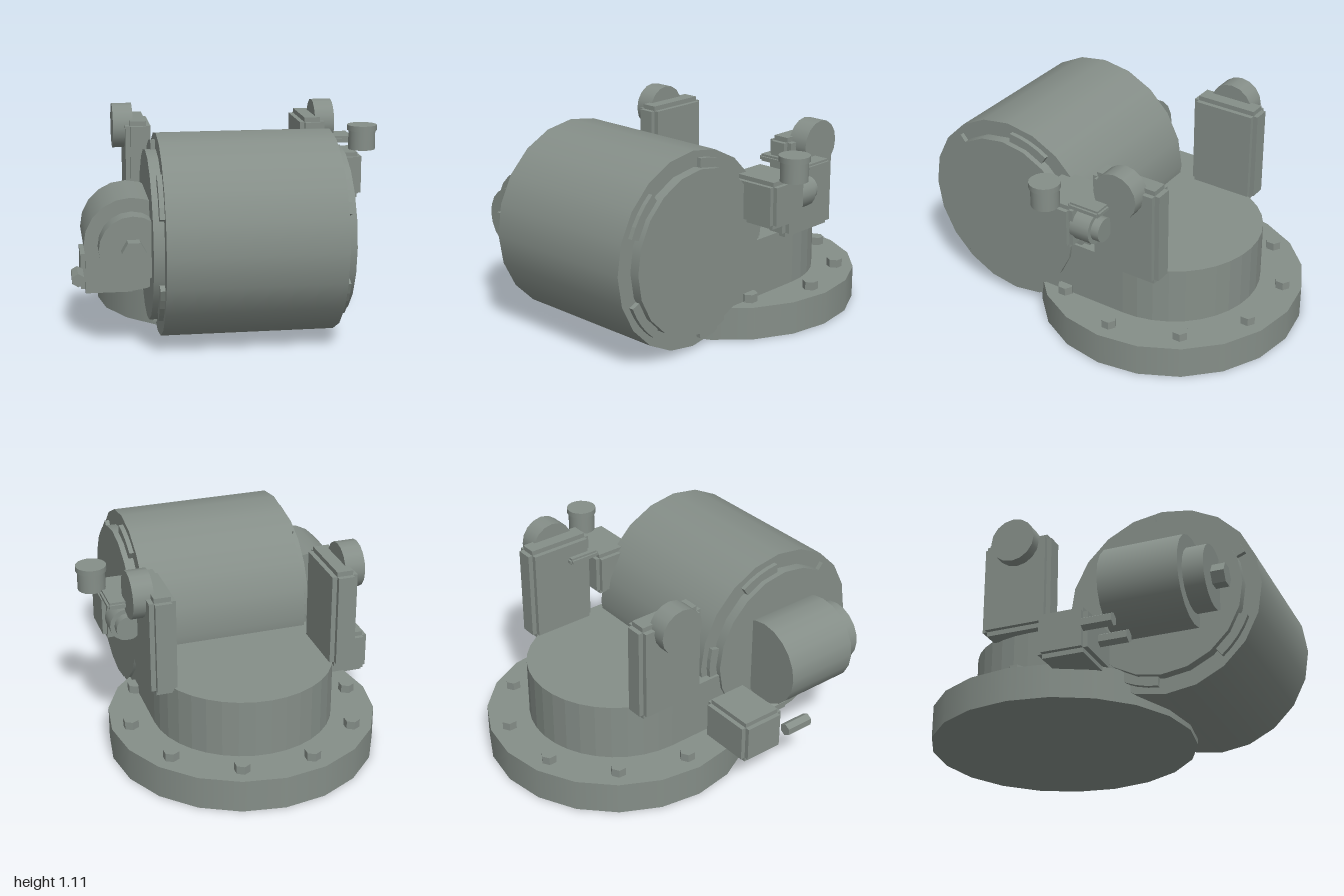
import * as THREE from 'three';

const smooth = new THREE.MeshStandardMaterial({ color: 0x858e88 });
const flat = new THREE.MeshStandardMaterial({ color: 0x858e88, flatShading: true });

const CX = 0.035;                      // symmetry line of base and drum
const BASE_Z = -0.275;                 // centre of the flange
const DRUM = { y: 0.55, z: 0.475 };    // drum axis

export function createModel() {
  const root = new THREE.Group();

  function add(name, geometry, material = smooth, parent = root) {
    const mesh = new THREE.Mesh(geometry, material);
    mesh.name = name;
    parent.add(mesh);
    return mesh;
  }

  // Cylinder from a to b along an axis; c holds the two other coordinates
  function cyl(name, axis, r, a, b, c, sides = 20, turn = 0) {
    const g = new THREE.CylinderGeometry(r, r, b - a, sides);
    g.rotateY(turn);
    const m = (a + b) / 2;
    if (axis === 'x') g.rotateZ(Math.PI / 2).translate(m, c[0], c[1]);
    if (axis === 'y') g.translate(c[0], m, c[1]);
    if (axis === 'z') g.rotateX(Math.PI / 2).translate(c[0], c[1], m);
    return add(name, g, sides <= 6 ? flat : smooth);
  }

  // Box with stepped edges: three crossing boxes, each full length on one axis
  function steppedBox(name, min, max, step) {
    const group = new THREE.Group();
    group.name = name;
    const size = max.map((v, i) => v - min[i]);
    group.position.set(...max.map((v, i) => (v + min[i]) / 2));
    for (let axis = 0; axis < 3; axis++) {
      const s = size.map((v, i) => (i === axis ? v : v - 2 * step));
      add(name + 'Block', new THREE.BoxGeometry(...s), flat, group);
    }
    root.add(group);
  }

  // Base flange with a ring of hex bolts
  cyl('baseFlange', 'y', 0.725, 0, 0.18, [CX, BASE_Z], 20);
  for (let i = 0; i < 10; i++) {
    const a = (i / 10) * Math.PI * 2;
    cyl('flangeBolt', 'y', 0.043, 0.17, 0.225,
      [CX + 0.62 * Math.cos(a), BASE_Z + 0.62 * Math.sin(a)], 6);
  }

  // Pedestal: round at the back, straight sides running into the drum
  const plan = new THREE.Shape();
  const R = 0.49;
  plan.moveTo(R, -0.55);
  plan.lineTo(R, 0);
  plan.absarc(0, 0, R, 0, Math.PI, false);
  plan.lineTo(-R, -0.55);
  const pedestal = new THREE.ExtrudeGeometry(plan, { depth: 0.32, bevelEnabled: false, curveSegments: 9 });
  pedestal.rotateX(-Math.PI / 2).translate(CX, 0.18, BASE_Z);
  add('pedestal', pedestal);

  // Drum
  cyl('drum', 'x', 0.525, -0.415, 0.485, [DRUM.y, DRUM.z], 20);

  // Clamp segment: a short arc of a ring
  const clampShape = new THREE.Shape();
  const half = 0.25;
  clampShape.absarc(0, 0, 0.485, -half, half, false);
  clampShape.absarc(0, 0, 0.4, half, -half, true);
  const clamp = new THREE.ExtrudeGeometry(clampShape, { depth: 0.026, bevelEnabled: false, curveSegments: 2 });
  clamp.rotateY(Math.PI / 2);

  // Both sides: end cover, clamps, upright housing and its wheel
  for (const s of [-1, 1]) {
    const span = (a, b) => [CX + s * a, CX + s * b].sort((p, q) => p - q);
    cyl('endCover', 'x', 0.44, ...span(0.44, 0.505), [DRUM.y, DRUM.z], 20);
    for (let i = 0; i < 5; i++) {
      const m = add('coverClamp', clamp, flat);
      m.position.set(span(0.449, 0.475)[0], DRUM.y, DRUM.z);
      m.rotation.x = Math.PI + (i / 5) * Math.PI * 2 + Math.PI;
    }
    const [x0, x1] = span(0.42, 0.56);
    steppedBox('uprightHousing', [x0, 0.48, -0.525], [x1, 1.03, -0.13], 0.026);
    cyl('uprightWheel', 'x', 0.126, ...span(0.515, 0.625), [0.984, -0.32], 16);
  }

  // Motor on the right side
  const motor = [-0.56, 0.55];
  cyl('motorBody', 'z', 0.24, 0.26, 0.685, motor, 20);
  cyl('motorNose', 'z', 0.17, 0.68, 0.795, motor, 20);
  cyl('motorNut', 'z', 0.061, 0.79, 0.865, motor, 6, Math.PI / 6);

  // Terminal box with two hex rods
  steppedBox('terminalBox', [-0.8, 0.155, -0.065], [-0.47, 0.4, 0.205], 0.025);
  for (const x of [-0.82, -0.615]) cyl('hexRod', 'z', 0.036, 0.2, 0.36, [x, 0.28], 6);

  // Instrument box on the left side with knob, lens and plate
  steppedBox('instrumentBox', [0.425, 0.63, -0.105], [0.742, 0.88, 0.152], 0.023);
  cyl('knobBody', 'y', 0.074, 0.88, 0.99, [0.767, 0.025], 18);
  cyl('knobCap', 'y', 0.082, 0.985, 1.015, [0.767, 0.025], 18);
  cyl('lensBarrel', 'z', 0.09, -0.205, -0.09, [0.64, 0.755], 16);
  cyl('lensTip', 'z', 0.066, -0.25, -0.2, [0.64, 0.755], 16);
  steppedBox('thinPlate', [0.42, 0.89, -0.288], [0.755, 0.928, -0.1], 0.011);

  return root;
}
